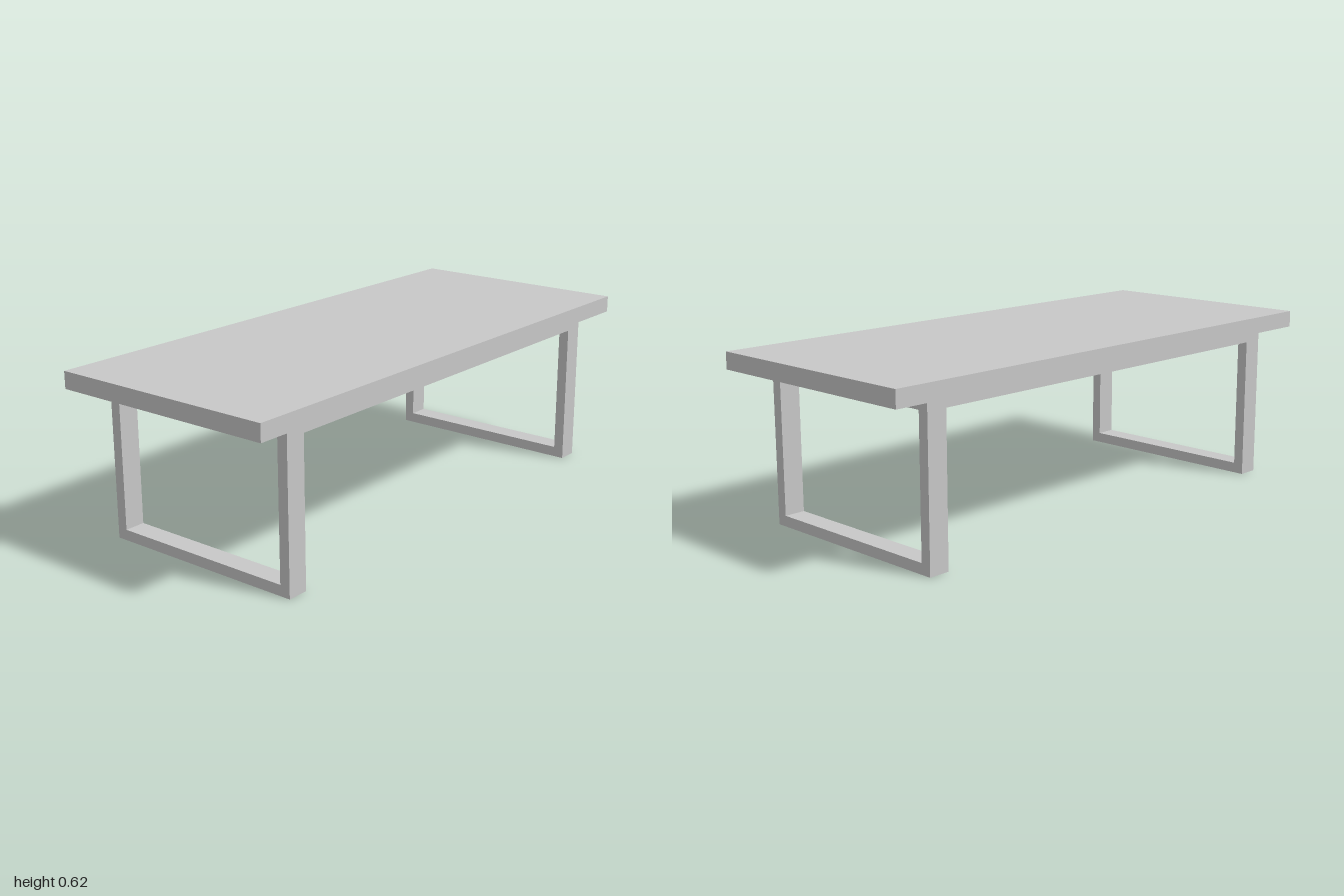
import * as THREE from 'three';

export function createModel() {
  const group = new THREE.Group();
  group.name = 'table';
  const grey = new THREE.MeshStandardMaterial({ color: 0xc8c8c8 });
  grey.name = 'lightGrey';

  const TOP_Y = 0.615, UNDER_Y = 0.555; // tabletop faces
  const LEG_X = 0.847, LEG_Z = 0.384;   // outer faces of the leg frames
  const LEG_W = 0.076, BAR = 0.038;     // leg width along x, bar thickness

  // Tabletop slab
  const top = new THREE.Mesh(new THREE.BoxGeometry(2, TOP_Y - UNDER_Y, 0.845), grey);
  top.name = 'tabletop';
  top.position.y = (TOP_Y + UNDER_Y) / 2;
  group.add(top);

  // Rectangular loop shared by both leg frames
  const frame = new THREE.Shape([
    new THREE.Vector2(-LEG_Z, 0), new THREE.Vector2(LEG_Z, 0),
    new THREE.Vector2(LEG_Z, UNDER_Y), new THREE.Vector2(-LEG_Z, UNDER_Y),
  ]);
  const iz = LEG_Z - BAR;
  frame.holes.push(new THREE.Path([
    new THREE.Vector2(-iz, BAR), new THREE.Vector2(-iz, UNDER_Y - BAR),
    new THREE.Vector2(iz, UNDER_Y - BAR), new THREE.Vector2(iz, BAR),
  ]));
  const frameGeo = new THREE.ExtrudeGeometry(frame, { depth: LEG_W, bevelEnabled: false });
  frameGeo.translate(0, 0, -LEG_W / 2).rotateY(Math.PI / 2);

  // Long rail between the frames
  const railGeo = new THREE.BoxGeometry(2 * (LEG_X - LEG_W), BAR, BAR);

  for (const s of [1, -1]) {
    const leg = new THREE.Mesh(frameGeo, grey);
    leg.name = s > 0 ? 'leftLegFrame' : 'rightLegFrame';
    leg.position.x = s * (LEG_X - LEG_W / 2);
    const rail = new THREE.Mesh(railGeo, grey);
    rail.name = s > 0 ? 'frontRail' : 'backRail';
    rail.position.set(0, UNDER_Y - BAR / 2, s * (LEG_Z - BAR / 2));
    group.add(leg, rail);
  }
  return group;
}
